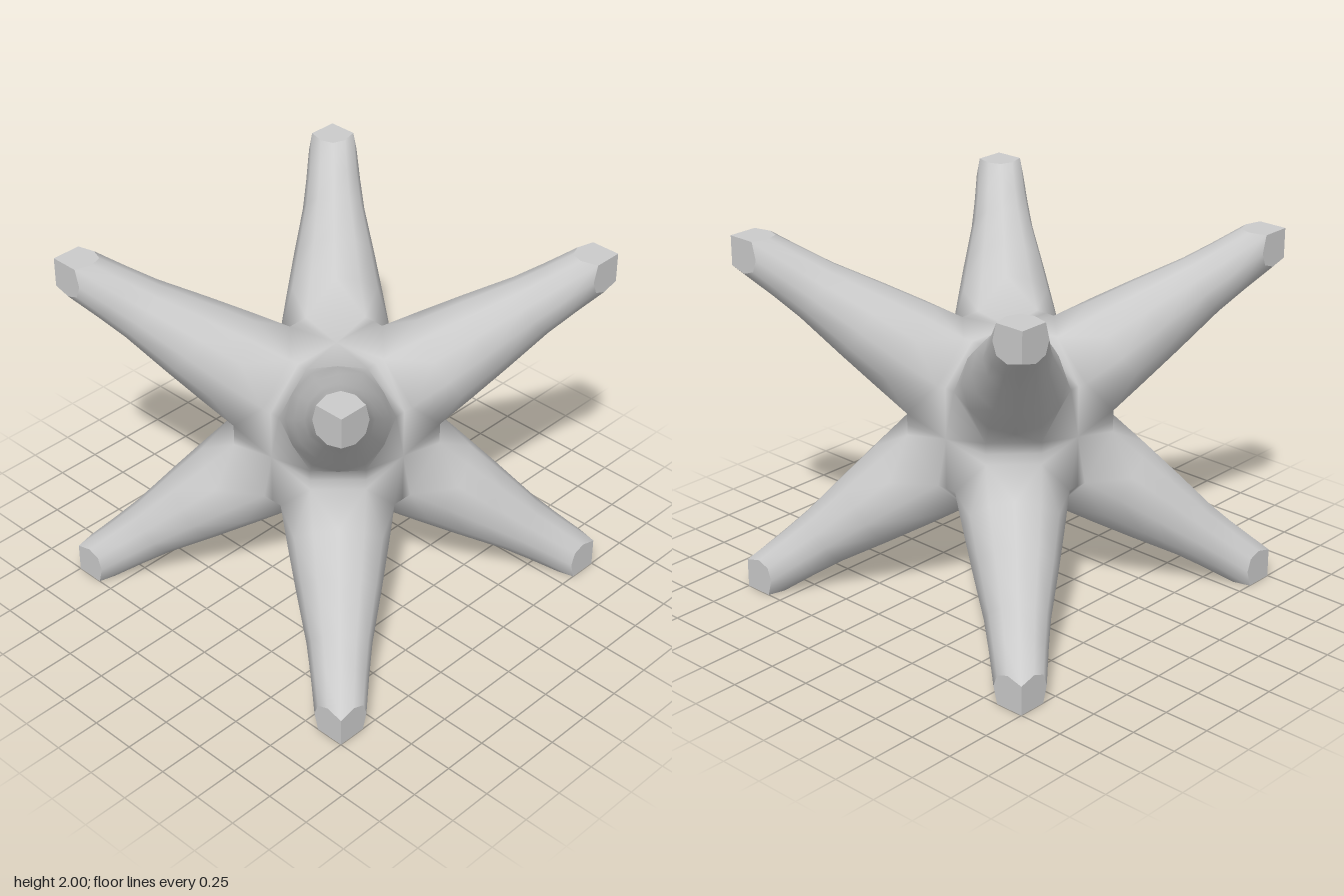
import * as THREE from 'three';
import { mergeVertices } from 'three/addons/utils/BufferGeometryUtils.js';

const SIDES = 12;
const U = new THREE.Vector3(2, -1, -1).normalize();
const V = new THREE.Vector3(0, 1, -1).normalize();
const CORNER = new THREE.Vector3(1, 1, 1);

// Hexagonal root of the arm that points to (+x, +y, +z)
const A = 0.48, B = 0.28, C = 0.06;
const root = [[A, B, C], [B, A, C], [C, A, B], [C, B, A], [B, C, A], [A, C, B]]
  .map((p) => new THREE.Vector3(...p));

// Keeps coordinates larger than a limit and sets the others to zero
const keepAbove = (p, limit) => new THREE.Vector3(...p.toArray().map((c) => (c > limit ? c : 0)));

// Offset from the arm's diagonal axis
function offset(j, radius) {
  const a = (j / SIDES) * Math.PI * 2;
  return U.clone().multiplyScalar(Math.cos(a) * radius).addScaledVector(V, Math.sin(a) * radius);
}

// Round ring across the arm, centred on (s, s, s)
function ring(s, radius) {
  return Array.from({ length: SIDES }, (_, j) => offset(j, radius).addScalar(s));
}

// End ring, trimmed where the arm meets the unit cube's faces
function tipRing(radius) {
  return Array.from({ length: SIDES }, (_, j) => {
    const p = offset(j, radius);
    return p.addScalar(1 - Math.max(p.x, p.y, p.z));
  });
}

// Fan of triangles over a convex polygon
function fan(out, ...pts) {
  for (let i = 1; i < pts.length - 1; i++) out.push([pts[0], pts[i], pts[i + 1]]);
}

// Core and arm surface within one octant
function octantBody() {
  const out = [];
  for (let i = 0; i < 6; i++) {
    const p = root[i], q = root[(i + 1) % 6];
    const pf = keepAbove(p, 0.1), qf = keepAbove(q, 0.1);
    // even sides: saddle to the neighbouring arm; odd sides: flat between four arms
    if (i % 2 === 0) fan(out, q, p, pf, qf);
    else fan(out, keepAbove(p, 0.4), qf, q, p, pf);
  }
  const rings = [ring(0.4, 0.262), ring(0.54, 0.22), ring(0.7, 0.168), ring(0.8, 0.148), tipRing(0.131)];
  // hexagonal root to the first round ring
  for (let i = 0; i < 6; i++) {
    const r = rings[0], a = r[2 * i], b = r[2 * i + 1], c = r[(2 * i + 2) % SIDES];
    out.push([root[i], b, a], [root[i], c, b], [root[i], root[(i + 1) % 6], c]);
  }
  // tapering arm
  for (let k = 0; k < rings.length - 1; k++) {
    for (let j = 0; j < SIDES; j++) {
      const n = (j + 1) % SIDES;
      fan(out, rings[k][j], rings[k][n], rings[k + 1][n], rings[k + 1][j]);
    }
  }
  return out;
}

// Three flat facets that form the cube corner at an arm's end
function octantTip() {
  const t = tipRing(0.131);
  return t.map((p, j) => [CORNER, p, t[(j + 1) % SIDES]]);
}

// Mirrors the triangles of one octant into all eight
function mirrored(tris) {
  const pos = [];
  for (const sx of [1, -1]) for (const sy of [1, -1]) for (const sz of [1, -1]) {
    for (const [a, b, c] of tris) {
      const order = sx * sy * sz > 0 ? [a, b, c] : [a, c, b];
      for (const p of order) pos.push(p.x * sx, p.y * sy + 1, p.z * sz);
    }
  }
  const g = new THREE.BufferGeometry();
  g.setAttribute('position', new THREE.Float32BufferAttribute(pos, 3));
  return g;
}

export function createModel() {
  const group = new THREE.Group();
  group.name = 'eightArmedStar';
  const material = new THREE.MeshStandardMaterial({ color: 0xcccccc });

  // smooth core with its arms; fix winding of the root triangles first
  const bodyTris = octantBody().map(([a, b, c]) => {
    const n = b.clone().sub(a).cross(c.clone().sub(a));
    const mid = a.clone().add(b).add(c);
    return n.dot(mid) < 0 ? [a, c, b] : [a, b, c];
  });
  const bodyGeometry = mergeVertices(mirrored(bodyTris), 1e-4);
  bodyGeometry.computeVertexNormals();
  const body = new THREE.Mesh(bodyGeometry, material);
  body.name = 'coreAndArms';

  // flat arm ends
  const tipGeometry = mirrored(octantTip());
  tipGeometry.computeVertexNormals();
  const tips = new THREE.Mesh(tipGeometry, material);
  tips.name = 'armTips';

  group.add(body, tips);
  return group;
}
